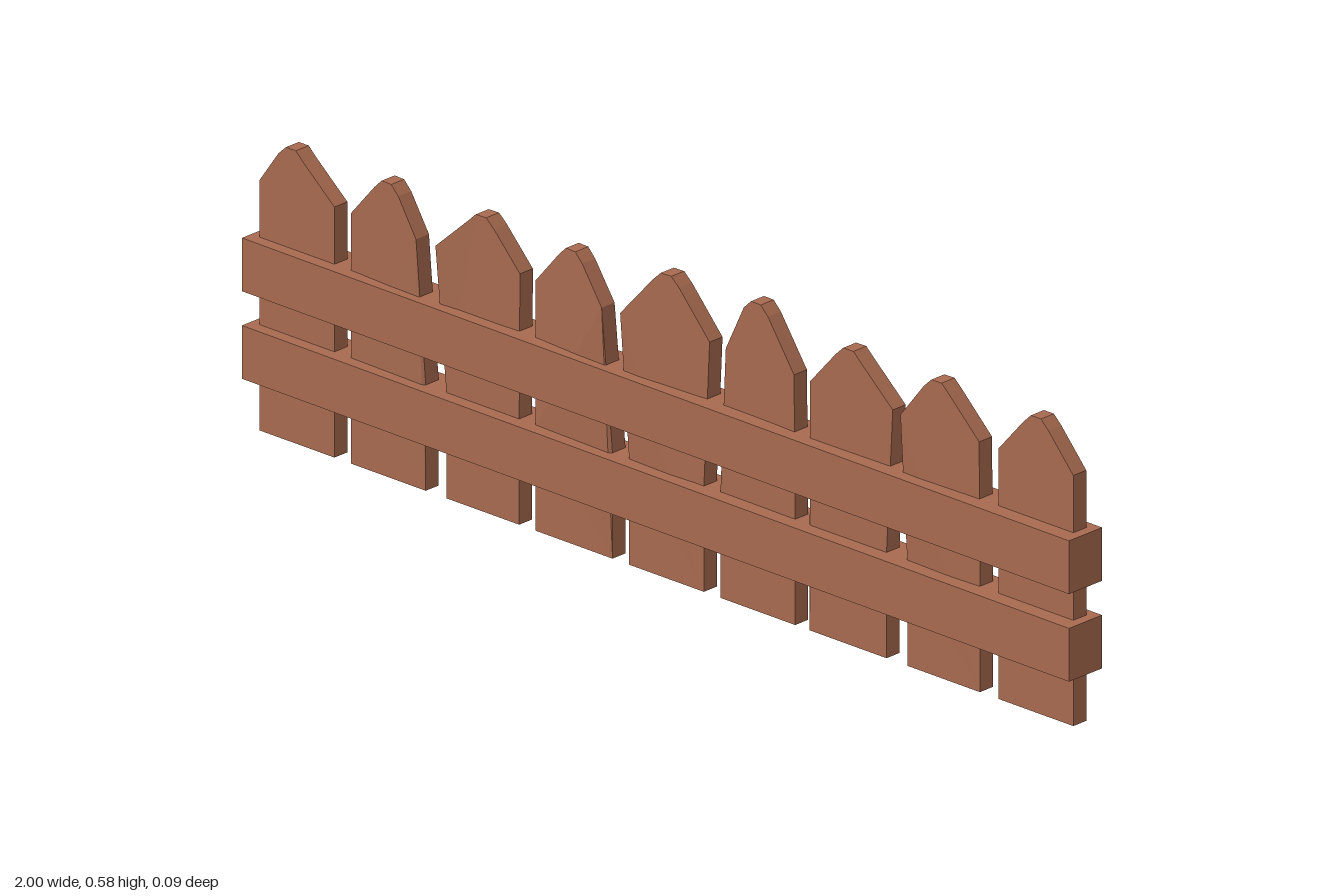
import * as THREE from 'three';

// Each picket: bottom left/right x, shoulder left/right x, peak x, peak y, warp in z at left/right shoulder
const PICKETS = [
  [-0.98, -0.80, -0.98, -0.80, -0.905, 0.555, 0, 0],
  [-0.76, -0.58, -0.76, -0.595, -0.67, 0.56, 0, 0.009],
  [-0.53, -0.355, -0.55, -0.355, -0.445, 0.56, 0.007, -0.002],
  [-0.315, -0.13, -0.315, -0.145, -0.225, 0.56, 0, 0.012],
  [-0.09, 0.09, -0.105, 0.10, 0, 0.576, 0.007, -0.004],
  [0.13, 0.31, 0.14, 0.31, 0.215, 0.583, -0.003, 0.003],
  [0.345, 0.53, 0.35, 0.545, 0.44, 0.56, 0.004, 0],
  [0.58, 0.755, 0.57, 0.755, 0.655, 0.562, 0.007, 0.002],
  [0.80, 0.98, 0.80, 0.98, 0.89, 0.56, 0, 0],
];
const SHOULDER = 0.475, BEND = 0.2, THICK = 0.033;

// Board with a blunted point, its upper part slightly warped
function picketGeometry([bl, br, tl, tr, px, py, zl, zr]) {
  const outline = [
    [bl, 0], [br, 0], [br, BEND], [tr, SHOULDER],
    [px + 0.03, py - 0.017], [px + 0.012, py], [px - 0.012, py], [px - 0.03, py - 0.017],
    [tl, SHOULDER], [bl, BEND],
  ].map(([x, y]) => new THREE.Vector2(x, y));
  const geo = new THREE.ExtrudeGeometry(new THREE.Shape(outline), { depth: THICK, bevelEnabled: false });
  geo.translate(0, 0, -0.018);
  const p = geo.attributes.position;
  for (let i = 0; i < p.count; i++) {
    const lift = THREE.MathUtils.clamp((p.getY(i) - BEND) / (SHOULDER - BEND), 0, 1);
    const side = THREE.MathUtils.clamp((p.getX(i) - tl) / (tr - tl), 0, 1);
    p.setZ(i, p.getZ(i) + lift * THREE.MathUtils.lerp(zl, zr, side));
  }
  geo.computeVertexNormals();
  return geo;
}

export function createModel() {
  const fence = new THREE.Group();
  fence.name = 'fence';
  const wood = new THREE.MeshStandardMaterial({ color: 0xa96b50, flatShading: true });
  wood.name = 'brown wood';

  PICKETS.forEach((row, i) => {
    const picket = new THREE.Mesh(picketGeometry(row), wood);
    picket.name = `picket${i + 1}`;
    fence.add(picket);
  });

  // Two thick rails, turned very slightly so the left end sits forward
  [['lowerRail', 0.15], ['upperRail', 0.316]].forEach(([name, y]) => {
    const rail = new THREE.Mesh(new THREE.BoxGeometry(2, 0.101, 0.084), wood);
    rail.name = name;
    rail.position.set(0, y, 0.001);
    rail.rotation.y = -0.004;
    fence.add(rail);
  });
  return fence;
}
